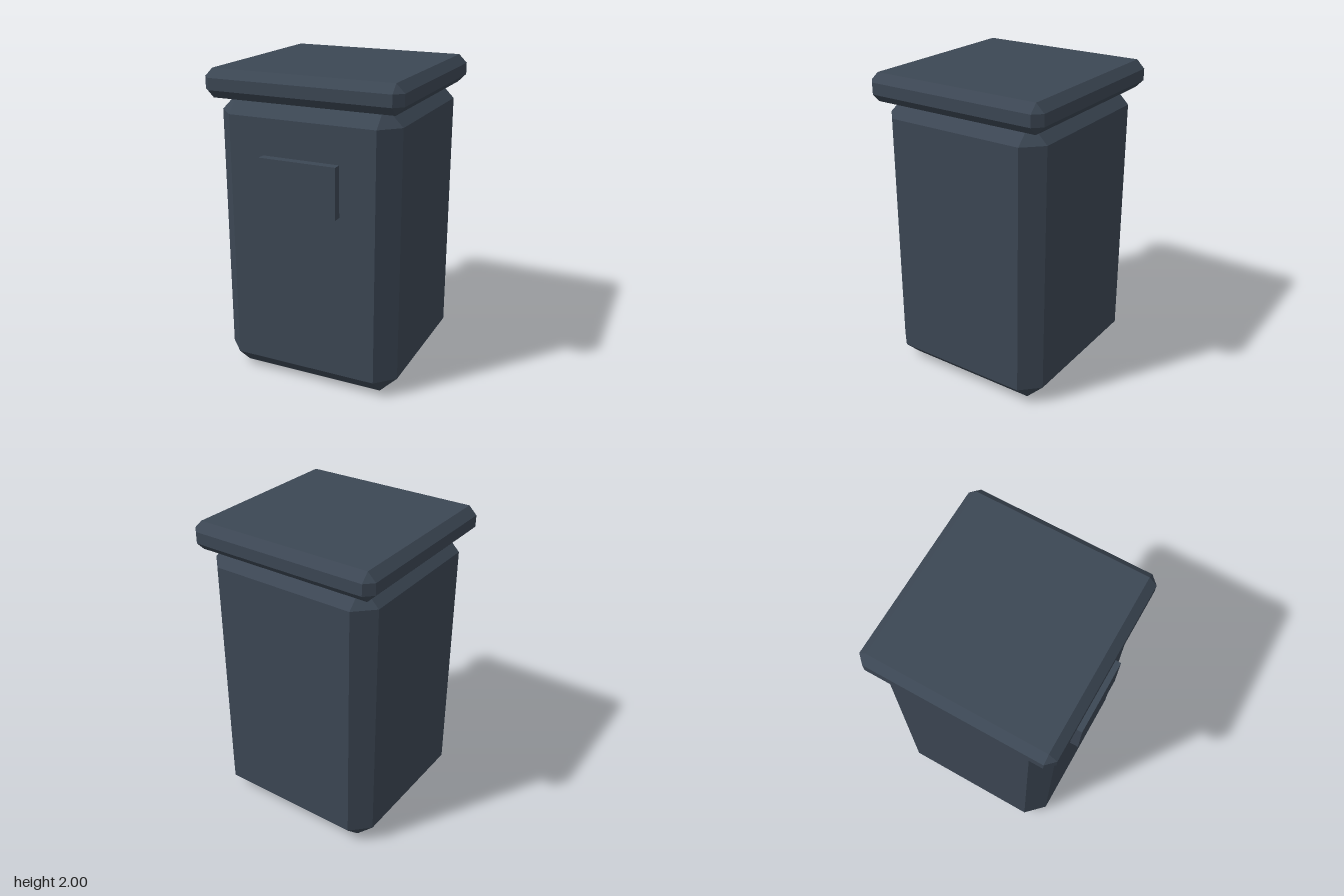
import * as THREE from 'three';
import { ConvexGeometry } from 'three/addons/geometries/ConvexGeometry.js';

// Box with flat chamfers on every edge and a triangular facet at each corner
function chamferedBox(width, height, depth, bevel) {
  const half = [width / 2, height / 2, depth / 2];
  const points = [];
  for (const sx of [-1, 1]) for (const sy of [-1, 1]) for (const sz of [-1, 1]) {
    for (let axis = 0; axis < 3; axis++) {
      const [x, y, z] = half.map((h, i) => (i === axis ? h : h - bevel));
      points.push(new THREE.Vector3(sx * x, sy * y, sz * z));
    }
  }
  return new ConvexGeometry(points);
}

export function createModel() {
  const group = new THREE.Group();
  group.name = 'bin';
  const slate = new THREE.MeshStandardMaterial({ color: 0x3c4754, flatShading: true });
  slate.name = 'slate grey';

  const add = (name, geometry, y, z) => {
    const mesh = new THREE.Mesh(geometry, slate);
    mesh.name = name;
    mesh.position.set(0, y, z);
    group.add(mesh);
  };

  // Body, its top chamfer rising slightly into the lid
  add('body', chamferedBox(1.195, 1.845, 1.15, 0.116), 0.9225, -0.005);

  // Overhanging lid
  add('lid', chamferedBox(1.285, 0.18, 1.24, 0.053), 1.91, -0.005);

  // Raised plate on the front
  add('frontPlate', new THREE.BoxGeometry(0.505, 0.322, 0.08), 1.338, 0.585);

  return group;
}
